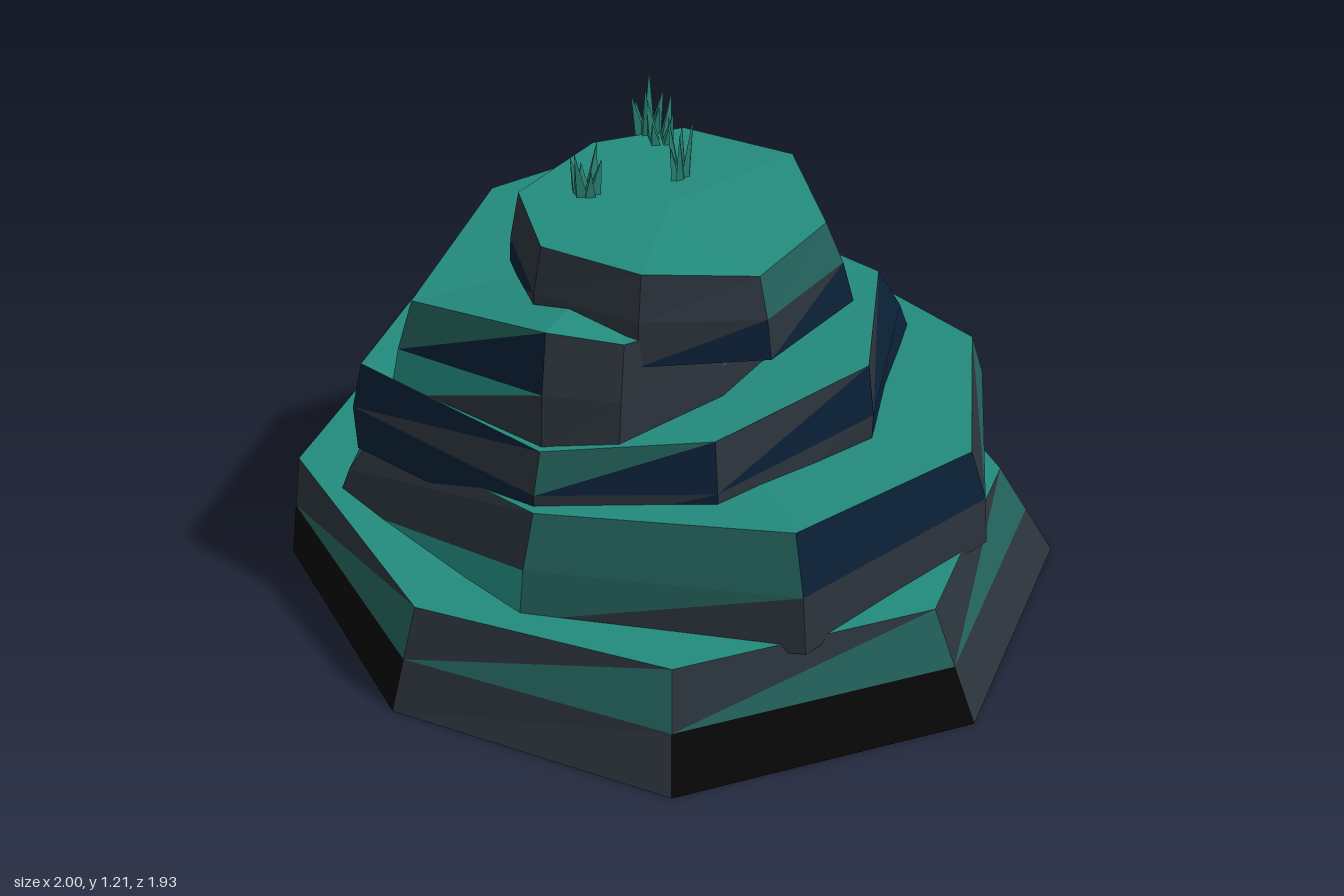
import * as THREE from 'three';

const mat = (name, color) => Object.assign(new THREE.MeshStandardMaterial({ color, flatShading: true }), { name });

export function createModel() {
  const model = new THREE.Group();
  model.name = 'layeredRock';
  const mats = {
    s: mat('slate', 0x2a323a),
    n: mat('navy', 0x0a1f35),
    k: mat('black', 0x070707),
    t: mat('teal', 0x228a7c),
    d: mat('mutedTeal', 0x225e58),
  };
  const grass = mat('grass', 0x288373);

  // One rock slab. outline: [x, z, top height, foot flare] clockwise from the -x side.
  // Each side has two bands; paint gives the colours of its four triangles, from the foot up.
  function addSlab(name, footY, bulge, outline, paint, under = 'ssssssss') {
    const group = new THREE.Group();
    group.name = name;
    const faces = { s: [], n: [], k: [], t: [], d: [] };
    const tri = (key, a, b, c) => [a, b, c].forEach((v) => faces[key].push(v.x, v.y, v.z));
    const top = outline.map(([x, z, y]) => new THREE.Vector3(x, y, z));
    const foot = outline.map(([x, z, , f]) => new THREE.Vector3(x * f, footY, z * f));
    const mid = top.map((v, i) => {
      const m = v.clone().lerp(foot[i], 0.5);
      return m.set(m.x * bulge, m.y, m.z * bulge);
    });
    const centre = (ring) => ring.reduce((sum, v) => sum.add(v), new THREE.Vector3()).divideScalar(ring.length);
    const topCentre = centre(top), footCentre = centre(foot);
    outline.forEach((_, i) => {
      const j = (i + 1) % outline.length, p = paint[i];
      tri(p[0], foot[j], foot[i], mid[i]);
      tri(p[1], foot[j], mid[i], mid[j]);
      tri(p[2], mid[j], mid[i], top[i]);
      tri(p[3], mid[j], top[i], top[j]);
      tri('t', topCentre, top[j], top[i]);
      tri(under[i], footCentre, foot[i], foot[j]);
    });
    for (const key in faces) {
      if (!faces[key].length) continue;
      const geo = new THREE.BufferGeometry();
      geo.setAttribute('position', new THREE.Float32BufferAttribute(faces[key], 3));
      geo.computeVertexNormals();
      const mesh = new THREE.Mesh(geo, mats[key]);
      mesh.name = `${name} ${mats[key].name} faces`;
      group.add(mesh);
    }
    model.add(group);
  }

  addSlab('baseSlab', 0, 1, [
    [-0.99, -0.15, 0.30, 1.01], [-0.50, -0.70, 0.26, 1.14], [0.18, -0.85, 0.24, 1.14], [0.71, -0.44, 0.25, 1.18],
    [0.86, 0.20, 0.26, 1.16], [0.47, 0.73, 0.26, 1.16], [-0.165, 0.87, 0.26, 1.10], [-0.79, 0.57, 0.29, 1.04],
  ], ['nnds', 'kkds', 'kkds', 'ssds', 'kkds', 'ssds', 'kkds', 'kkds'], 'kkkkkssk');

  addSlab('lowerSlab', 0.24, 1.02, [
    [-0.81, 0.08, 0.44, 1.02], [-0.64, -0.66, 0.44, 1.02], [-0.05, -0.82, 0.48, 1.03], [0.50, -0.66, 0.47, 1.05],
    [0.77, -0.13, 0.49, 1.07], [0.62, 0.45, 0.53, 1.10], [0.05, 0.68, 0.50, 1.11], [-0.55, 0.54, 0.43, 1.14],
  ], ['nsds', 'nnss', 'dsds', 'dsds', 'ssnn', 'sddd', 'tsss', 'ssds']);

  addSlab('middleSlab', 0.42, 1.02, [
    [-0.70, 0.15, 0.63, 1.18], [-0.62, -0.38, 0.62, 1.10], [-0.22, -0.62, 0.66, 1.24], [0.28, -0.53, 0.66, 1.20],
    [0.52, -0.05, 0.69, 1.03], [0.37, 0.40, 0.66, 1.10], [0.03, 0.62, 0.63, 1.06], [-0.54, 0.58, 0.66, 1.03],
  ], ['ssds', 'nnsd', 'sdsd', 'nnns', 'ssns', 'nsnd', 'nnsn', 'ssns']);

  addSlab('upperSlab', 0.61, 1.01, [
    [-0.62, -0.06, 0.85, 1.08], [-0.43, -0.39, 0.89, 1.08], [0.04, -0.45, 0.92, 1.20], [0.24, -0.20, 0.90, 1.22],
    [0.25, 0.20, 0.86, 1.14], [0.16, 0.46, 0.88, 1.12], [0.02, 0.57, 0.92, 1.06], [-0.40, 0.54, 0.86, 1.10],
  ], ['snss', 'ssss', 'sdds', 'ssds', 'ssss', 'ssss', 'stnd', 'dsss']);

  addSlab('topSlab', 0.81, 1.02, [
    [-0.30, -0.07, 1.06, 1.04], [-0.16, -0.27, 1.06, 1.08], [0.15, -0.29, 1.06, 1.03], [0.36, -0.10, 1.01, 1.20],
    [0.36, 0.20, 1.00, 1.15], [0.16, 0.39, 1.03, 1.10], [-0.10, 0.42, 1.04, 1.08], [-0.30, 0.24, 1.05, 1.08],
  ], ['nnss', 'nnns', 'nnsd', 'nsdd', 'nsss', 'ssss', 'snss', 'ssss']);

  // Grass tufts: pointed blades leaning out from a centre; the last value narrows the tuft in x
  const blade = new THREE.ConeGeometry(0.021, 1, 4).translate(0, 0.5, 0);
  [[-0.23, -0.21, 0.17, 6, 1], [-0.17, -0.18, 0.14, 4, 1], [-0.03, -0.06, 0.175, 6, 0.55], [-0.17, 0.14, 0.13, 6, 1]].forEach(([x, z, h, n, narrow]) => {
    const tuft = new THREE.Group();
    tuft.name = 'grassTuft';
    tuft.position.set(x, 1.035, z);
    tuft.scale.x = narrow;
    for (let i = 0; i < n; i++) {
      const a = (i / n) * Math.PI * 2 + x * 9;
      const mesh = new THREE.Mesh(blade, grass);
      mesh.name = 'grassBlade';
      mesh.position.set(Math.cos(a) * 0.018, 0, Math.sin(a) * 0.018);
      mesh.rotation.set(Math.sin(a) * 0.2, 0, -Math.cos(a) * 0.2);
      mesh.scale.y = h * (1 - 0.2 * (i % 3));
      tuft.add(mesh);
    }
    model.add(tuft);
  });
  return model;
}
